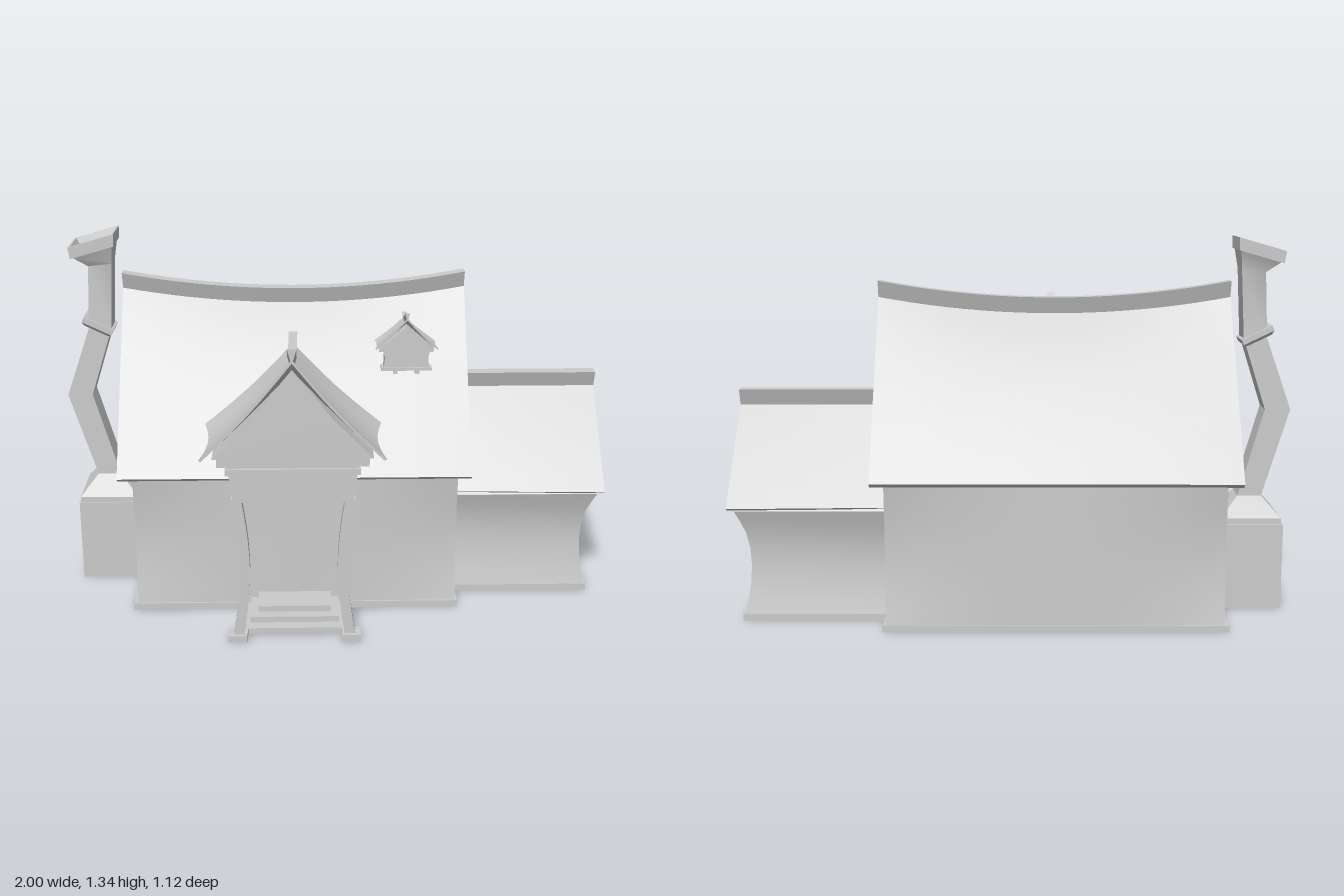
import * as THREE from 'three';
import { toCreasedNormals } from 'three/addons/utils/BufferGeometryUtils.js';

const material = new THREE.MeshStandardMaterial({ color: 0xcccccc });
const openMaterial = new THREE.MeshStandardMaterial({ color: 0xcccccc, side: THREE.DoubleSide });

// Skins a list of sections (each a list of [x, y, z]) and zips the ends shut.
// wrap joins the last point of a section to its first.
function loft(name, sections, { capStart = true, capEnd = true, wrap = true } = {}) {
  const m = sections[0].length, n = sections.length;
  const pts = sections.flat();
  let tris = [];
  for (let s = 0; s < n - 1; s++) {
    for (let i = 0; i < (wrap ? m : m - 1); i++) {
      const a = s * m + i, b = s * m + (i + 1) % m;
      tris.push([a, b, b + m], [a, b + m, a + m]);
    }
  }
  const cap = (o, flip) => {
    for (let i = 0; i < Math.floor(m / 2); i++) {
      const j = m - 1 - i;
      for (const t of [[i, j - 1, i + 1], [i, j, j - 1]]) {
        if (new Set(t).size < 3 || j - 1 <= i) continue;
        tris.push((flip ? [t[0], t[2], t[1]] : t).map((k) => k + o));
      }
    }
  };
  if (capStart) cap(0, false);
  if (capEnd) cap((n - 1) * m, true);
  // Turn the faces outward
  const v = pts.map((p) => new THREE.Vector3(...p));
  const origin = v[0];
  const volume = tris.reduce((sum, [a, b, c]) => sum + v[a].clone().sub(origin)
    .dot(v[b].clone().sub(origin).cross(v[c].clone().sub(origin))), 0);
  if (volume < 0) tris = tris.map(([a, b, c]) => [a, c, b]);
  const geo = new THREE.BufferGeometry();
  geo.setAttribute('position', new THREE.Float32BufferAttribute(pts.flat(), 3));
  geo.setIndex(tris.flat());
  const mesh = new THREE.Mesh(toCreasedNormals(geo, 0.5), capStart && capEnd && wrap ? material : openMaterial);
  mesh.name = name;
  return mesh;
}

function box(name, x0, x1, y0, y1, z0, z1) {
  const mesh = new THREE.Mesh(new THREE.BoxGeometry(x1 - x0, y1 - y0, z1 - z0), material);
  mesh.name = name;
  mesh.position.set((x0 + x1) / 2, (y0 + y1) / 2, (z0 + z1) / 2);
  return mesh;
}

const rect = (x0, x1, y, z0, z1) => [[x0, y, z0], [x1, y, z0], [x1, y, z1], [x0, y, z1]];
const steps = (a, b, n) => Array.from({ length: n + 1 }, (_, i) => a + (b - a) * i / n);

// Hollow skirting band around a wall
const plinth = (name, x0, x1, z0, z1) => loft(name, [
  rect(x0, x1, 0, z0, z1), rect(x0, x1, 0.025, z0, z1), rect(x0 + 0.015, x1 - 0.015, 0.025, z0 + 0.015, z1 - 0.015),
], { capStart: false, capEnd: false });

// Gabled roof with a ridge beam. width(a) varies along the ridge axis;
// height(a, t) gives the slope, t running from 0 at the eave to 1 at the ridge.
function roof(name, { axis, from, to, n, centre, width, height, drop, inset, cap, capHalf }) {
  const group = new THREE.Group();
  group.name = name;
  const P = (a, l, y) => (axis === 'x' ? [a, y, centre + l] : [centre + l, y, a]);
  const us = steps(-1, 1, 12);
  const stations = steps(from, to, n);
  group.add(loft(name + 'Slopes', stations.map((a) => {
    const w = width(a), k = 1 - inset / w;
    return [
      ...us.map((u) => P(a, w * u, height(a, 1 - Math.abs(u)))),
      ...us.map((u) => P(a, -w * u * k, height(a, 1 - Math.abs(u * k)) - drop)),
    ];
  })));
  group.add(loft(name + 'RidgeBeam', stations.map((a) => {
    const y = height(a, 1);
    return [P(a, -capHalf, y + cap), P(a, capHalf, y + cap), P(a, 0.15 * capHalf, y - 0.01), P(a, -0.15 * capHalf, y - 0.01)];
  })));
  return group;
}

// Triangular wall under a roof
const gable = (name, axis, from, to, centre, half, y0, y1) => loft(name, [from, to].map((a) =>
  [[-half, y0], [0, y1], [half, y0]].map(([l, y]) => (axis === 'x' ? [a, y, centre + l] : [centre + l, y, a]))));

export function createModel() {
  const model = new THREE.Group();
  model.name = 'cottage';

  // Main house: open below, walls pinch inward toward the corners, ridge sags
  const mid = -0.145, zc = -0.123;
  const sag = (x) => 0.06 * (1 - ((x - mid) / 0.635) ** 2);
  const wallY = steps(0.02, 0.53, 10);
  model.add(loft('mainWalls', steps(-0.73, 0.443, 16).map((x) => {
    const pinch = 0.024 * ((x - mid) / 0.585) ** 2;
    const side = wallY.map((y, i) => [y, 0.406 - pinch * Math.sin(Math.PI * i / 10)]);
    return [
      ...side.map(([y, h]) => [x, y, zc + h]),
      [x, 1.09 - sag(x), zc],
      ...side.reverse().map(([y, h]) => [x, y, zc - h]),
    ];
  }), { wrap: false }));
  model.add(plinth('mainPlinth', -0.745, 0.452, -0.535, 0.29));
  model.add(roof('mainRoof', {
    axis: 'x', from: -0.78, to: 0.489, n: 20, centre: zc, width: () => 0.44,
    height: (x, t) => 0.53 + 0.6 * t - sag(x) * t ** 3,
    drop: 0.047, inset: 0.023, cap: 0.053, capHalf: 0.026,
  }));

  // Side wing with flared walls, open below
  const wingWalls = [[0.02, 0.95, 0.284], [0.08, 0.938, 0.272], [0.14, 0.93, 0.264], [0.2, 0.927, 0.26],
    [0.26, 0.93, 0.262], [0.32, 0.942, 0.272], [0.37, 0.962, 0.288], [0.4, 0.977, 0.298]];
  model.add(loft('wingWalls', wingWalls.map(([y, x, h]) => rect(0.435, x, y, -0.123 - h, -0.123 + h)), { capStart: false }));
  model.add(plinth('wingPlinth', 0.435, 0.957, -0.413, 0.163));
  model.add(gable('wingGable', 'x', 0.435, 0.977, -0.123, 0.295, 0.4, 0.715));
  model.add(roof('wingRoof', {
    axis: 'x', from: 0.435, to: 1, n: 4, centre: -0.123, width: (x) => 0.295 + 0.02 * (x - 0.49) / 0.51,
    height: (x, t) => 0.413 + 0.322 * t, drop: 0.018, inset: 0.01, cap: 0.053, capHalf: 0.026,
  }));

  // Crooked chimney: [centre x, y, half width, half depth, tilt]
  const tilted = ([cx, y, hx, hz, tilt = 0]) => [[-1, -1], [1, -1], [1, 1], [-1, 1]].map(([i, k]) =>
    [cx + i * hx * Math.cos(tilt), y + i * hx * Math.sin(tilt), -0.122 + k * hz]);
  const chimney = new THREE.Group();
  chimney.name = 'chimney';
  chimney.add(loft('chimneyBase', [rect(-0.972, -0.738, 0, -0.263, 0.008), rect(-0.972, -0.738, 0.312, -0.263, 0.008)], { capStart: false }));
  chimney.add(loft('chimneyShaft', [
    [-0.857, 0.31, 0.11, 0.125], [-0.857, 0.332, 0.11, 0.125], [-0.862, 0.4, 0.043, 0.052],
    [-0.955, 0.72, 0.046, 0.052], [-0.867, 0.98, 0.042, 0.05], [-0.855, 1.22, 0.043, 0.05, 0.1],
    [-0.875, 1.272, 0.074, 0.076, 0.28],
  ].map(tilted)));
  chimney.add(loft('chimneyCollar', [[-0.882, 0.972, 0.048, 0.055, -0.45], [-0.878, 0.982, 0.06, 0.066, -0.45],
    [-0.87, 1, 0.06, 0.066, -0.45]].map(tilted)));
  chimney.add(loft('chimneyPot', [[-0.877, 1.272, 0.083, 0.082, 0.28], [-0.88, 1.316, 0.087, 0.083, 0.28],
    [-0.88, 1.316, 0.079, 0.076, 0.28], [-0.872, 1.28, 0.066, 0.066, 0.28]].map(tilted)));
  model.add(chimney);

  // Porch: the roof sweeps up toward the front
  const px = -0.15;
  const porch = new THREE.Group();
  porch.name = 'porch';
  const porchRidge = (z) => 0.94 + 0.105 * Math.max(0, (z - 0.05) / 0.51) ** 3.4;
  const flared = (eave, ridge, t) => eave + (ridge - eave) * (t - 0.045 * Math.sin(Math.PI * t));
  porch.add(roof('porchRoof', {
    axis: 'z', from: -0.03, to: 0.562, n: 16, centre: px,
    width: (z) => 0.296 + 0.022 * Math.min(1, ((z - 0.38) / 0.18) ** 2),
    height: (z, t) => flared(0.695, porchRidge(z), t),
    drop: 0.013, inset: 0.008, cap: 0.035, capHalf: 0.016,
  }));
  // Gable wall follows the sweep of the roof
  porch.add(loft('porchGable', steps(0.1, 0.535, 6).map((z) => {
    const rise = porchRidge(z) - 0.025 - 0.688;
    return [[-0.275, 0], [-0.14, 0.44], [0, 1], [0.14, 0.44], [0.275, 0]].map(([l, t]) => [px + l, 0.688 + rise * t, z]);
  })));
  porch.add(loft('porchCornice', [[0.65, 0.222], [0.69, 0.24]].map(([y, h]) => rect(px - h, px + h, y, 0.1, 0.535))));
  porch.add(box('porchPlate', px - 0.231, px + 0.231, 0.633, 0.655, 0.1, 0.548));
  porch.add(loft('porchLintel', [[0.53, 0.206], [0.58, 0.211], [0.64, 0.222]].map(([y, h]) => rect(px - h, px + h, y, 0.1, 0.535))));
  for (const s of [-1, 1]) {
    porch.add(loft('porchPost', steps(0.02, 0.54, 10).map((y, i) => {
      const x = px + s * (0.196 - 0.025 * Math.sin(Math.PI * i / 10));
      return rect(x - 0.018, x + 0.018, y, 0.498, 0.534);
    })));
    const fx = px + s * 0.2;
    porch.add(box('postFoot', fx - 0.034, fx + 0.034, 0, 0.025, 0.485, 0.548));
    for (const z of [0.49, 0.32]) {
      porch.add(box('porchBracket', px + s * 0.24 - 0.022, px + s * 0.24 + 0.022, 0.645, 0.69, z - 0.01, z + 0.01));
    }
  }
  [[0.175, 0.022, 0.485], [0.16, 0.045, 0.443], [0.132, 0.066, 0.402]].forEach(([h, y, z]) =>
    porch.add(box('step', px - h, px + h, y - 0.022, y, 0.285, z)));
  model.add(porch);

  // Small dormer
  const dx = 0.263;
  const dormer = new THREE.Group();
  dormer.name = 'dormer';
  const dormerRidge = (z) => 1.022 + 0.038 * Math.max(0, (z + 0.02) / 0.128) ** 2;
  dormer.add(roof('dormerRoof', {
    axis: 'z', from: -0.065, to: 0.11, n: 10, centre: dx,
    width: (z) => 0.107 + 0.008 * Math.min(1, ((z - 0.05) / 0.06) ** 2),
    height: (z, t) => flared(0.947, dormerRidge(z), t),
    drop: 0.008, inset: 0.005, cap: 0.018, capHalf: 0.009,
  }));
  dormer.add(gable('dormerGable', 'z', -0.04, 0.1, dx, 0.098, 0.945, 1.024));
  dormer.add(loft('dormerWalls', [[0.87, 0.083], [0.91, 0.079], [0.95, 0.088]].map(([y, h]) => rect(dx - h, dx + h, y, -0.04, 0.1))));
  dormer.add(box('dormerSill', dx - 0.092, dx + 0.092, 0.863, 0.874, 0, 0.107));
  for (const s of [-1, 1]) {
    dormer.add(box('sillBracket', dx + s * 0.04 - 0.008, dx + s * 0.04 + 0.008, 0.848, 0.865, 0.03, 0.1));
    for (const z of [0.087, 0.037]) {
      dormer.add(box('eaveBracket', dx + s * 0.092 - 0.008, dx + s * 0.092 + 0.008, 0.93, 0.946, z - 0.005, z + 0.005));
    }
  }
  model.add(dormer);
  return model;
}
